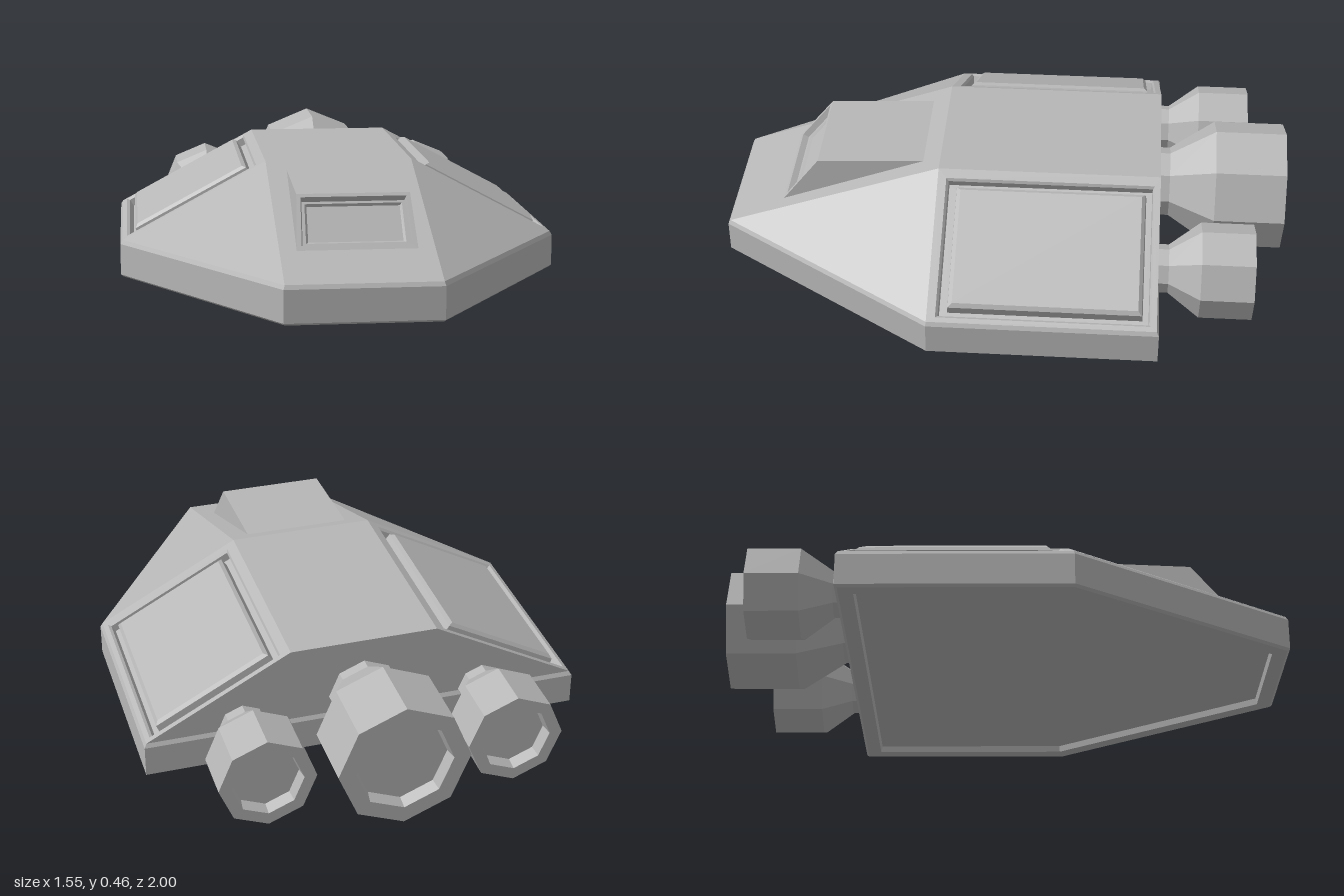
import * as THREE from 'three';

const BELT = 0.162, ROOF = 0.435, MID = 0.228, BACK = -0.552, NOSE = 0.992;

// Flat-shaded geometry from a list of triangle corners
function flat(tris) {
  const g = new THREE.BufferGeometry();
  g.setAttribute('position', new THREE.Float32BufferAttribute(tris.flat(), 3));
  g.computeVertexNormals();
  return g;
}

// Fan over a convex polygon, counter-clockwise from outside
const fan = (p) => p.slice(2).flatMap((q, i) => [p[0], p[i + 1], q]);

// Skin between successive rings of equal corner count
function skin(rings) {
  const out = [];
  for (let k = 0; k + 1 < rings.length; k++) {
    const a = rings[k], b = rings[k + 1], n = a.length;
    for (let i = 0; i < n; i++) {
      const j = (i + 1) % n;
      out.push(a[i], a[j], b[j], a[i], b[j], b[i]);
    }
  }
  return out;
}

// Mirror triangles across x, keeping them facing outward
function mirror(tris) {
  const m = tris.map(([x, y, z]) => [-x, y, z]);
  for (let i = 0; i < m.length; i += 3) [m[i + 1], m[i + 2]] = [m[i + 2], m[i + 1]];
  return m;
}

// Hull plan, inset by d at height y
function plan(d, y) {
  const half = [[0.775 - d, -0.56 + d], [0.775 - d, 0.23 - 0.3 * d], [0.26 - 0.534 * d, 1 - d]];
  return [
    ...half.map(([x, z]) => [-x, y, z]),
    ...half.reverse().map(([x, z]) => [x, y, z]),
  ];
}

// Height of the sloping nose at z
const noseY = (z) => ROOF - (z - MID) * (ROOF - BELT) / (NOSE - MID);

export function createModel() {
  const model = new THREE.Group();
  const hullGrey = new THREE.MeshStandardMaterial({ color: 0xb6b6b6 });
  hullGrey.name = 'hullGrey';
  const add = (name, geometry) => {
    const mesh = new THREE.Mesh(geometry, hullGrey);
    mesh.name = name;
    model.add(mesh);
    return mesh;
  };

  // Lower hull: recessed belly, rim, vertical belt with small bevels
  const lower = [
    plan(0.065, 0.052), plan(0.06, 0.03), plan(0.01, 0.03),
    plan(0.0, 0.038), plan(0.0, 0.148), plan(0.008, BELT),
  ];
  add('lowerHull', flat([...fan([...lower[0]].reverse()), ...skin(lower)]));

  // Flat roof and back wall
  add('roof', flat(fan([[-0.26, ROOF, BACK], [-0.26, ROOF, MID], [0.26, ROOF, MID], [0.26, ROOF, BACK]])));
  add('backWall', flat(fan([[0.767, BELT, BACK], [-0.767, BELT, BACK], [-0.26, ROOF, BACK], [0.26, ROOF, BACK]])));

  // Nose slope, open underneath the cockpit
  add('noseSlope', flat(skin([
    [[-0.256, BELT, NOSE], [0.256, BELT, NOSE], [0.26, ROOF, MID], [-0.26, ROOF, MID]],
    [[-0.185, noseY(0.79), 0.79], [0.185, noseY(0.79), 0.79], [0.18, noseY(0.31), 0.31], [-0.18, noseY(0.31), 0.31]],
  ])));

  // Nose corners
  const corner = [[0.256, BELT, NOSE], [0.767, BELT, MID], [0.26, ROOF, MID]];
  add('leftNoseCorner', flat(corner));
  add('rightNoseCorner', flat(mirror(corner)));

  // Side slopes: trench cut into the slope with a raised hatch inside
  const drop = new THREE.Vector2(0.507, BELT - ROOF);
  const len = drop.length();
  const [cx, cy] = [drop.x / len, drop.y / len];
  const onSlope = ([u0, u1, v0, v1, h]) => [[u0, v0], [u1, v0], [u1, v1], [u0, v1]]
    .map(([u, v]) => [0.26 + cx * v - cy * h, ROOF + cy * v + cx * h, u]);
  const hatch = [
    [BACK, MID, 0, len, 0],
    [-0.532, 0.198, 0.036, 0.558, 0],
    [-0.526, 0.190, 0.044, 0.550, -0.008],
    [-0.524, 0.188, 0.046, 0.548, -0.035],
    [-0.504, 0.162, 0.068, 0.526, -0.035],
    [-0.500, 0.158, 0.072, 0.522, 0.002],
    [-0.488, 0.144, 0.084, 0.508, 0.012],
  ].map(onSlope);
  const side = [...skin(hatch), ...fan(hatch[hatch.length - 1])];
  add('leftSideSlope', flat(side));
  add('rightSideSlope', flat(mirror(side)));

  // Cockpit hood: top, triangular cheeks and recessed front window
  const foot = [0.2, noseY(0.8), 0.8], brow = [0.19, 0.395, 0.67], rear = [0.19, noseY(0.29), 0.29];
  const flip = ([x, y, z]) => [-x, y, z];
  const cheek = [foot, rear, brow];
  add('cockpitHood', flat([...fan([flip(brow), brow, rear, flip(rear)]), ...cheek, ...mirror(cheek)]));

  const dy = brow[1] - foot[1], dz = brow[2] - foot[2], faceLen = Math.hypot(dy, dz);
  const onFace = ([xb, xt, t0, t1, h]) => [[-xb, t0], [xb, t0], [xt, t1], [-xt, t1]]
    .map(([x, t]) => [x, foot[1] + dy * t - dz / faceLen * h, foot[2] + dz * t + dy / faceLen * h]);
  const pane = [
    [0.2, 0.19, 0, 1, 0],
    [0.183, 0.177, 0.08, 0.94, 0],
    [0.178, 0.172, 0.11, 0.91, -0.022],
    [0.166, 0.163, 0.17, 0.87, -0.022],
    [0.158, 0.156, 0.21, 0.84, -0.03],
  ].map(onFace);
  add('cockpitWindow', flat([...skin(pane), ...fan(pane[pane.length - 1])]));

  // Eight-sided engine bells with hollow ends
  const engine = (name, x, r, neck, flare, full, end) => {
    const profile = [
      [neck, 0.54], [neck, flare], [r, full], [r, end],
      [r * 0.74, end], [r * 0.70, end - 0.045], [0, end - 0.045],
    ].map(([a, b]) => new THREE.Vector2(a, b));
    const g = new THREE.LatheGeometry(profile, 8).toNonIndexed();
    g.rotateX(-Math.PI / 2);
    g.computeVertexNormals();
    add(name, g).position.set(x, r, 0);
  };
  engine('mainEngine', 0, 0.228, 0.125, 0.59, 0.75, 1);
  engine('leftEngine', 0.432, 0.167, 0.085, 0.59, 0.70, 0.885);
  engine('rightEngine', -0.432, 0.167, 0.085, 0.59, 0.70, 0.885);

  return model;
}
